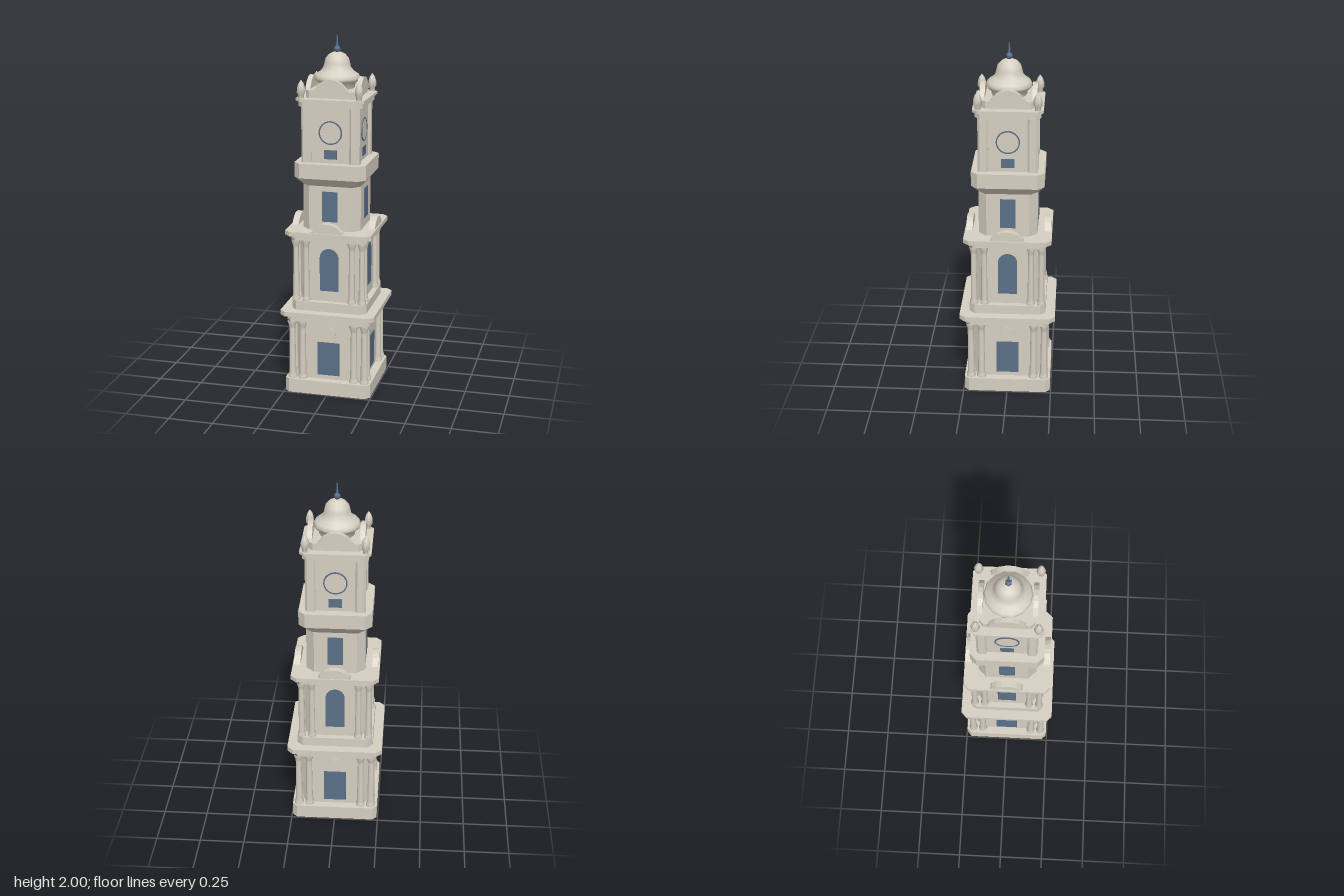
import * as THREE from 'three';

const stone = new THREE.MeshStandardMaterial({ color: 0xd6cfc2 });
stone.name = 'stone';
const slate = new THREE.MeshStandardMaterial({ color: 0x5a7088 });
slate.name = 'slate blue';

function add(parent, name, geometry, material, x = 0, y = 0, z = 0) {
  const mesh = new THREE.Mesh(geometry, material);
  mesh.name = name;
  mesh.position.set(x, y, z);
  parent.add(mesh);
  return mesh;
}

// Square with cut corners, counter-clockwise seen from above
function ring(y, h, c) {
  const k = h - c;
  return [[h, k], [h, -k], [k, -h], [-k, -h], [-h, -k], [-h, k], [-k, h], [k, h]]
    .map(([x, z]) => new THREE.Vector3(x, y, z));
}

// Stack of cut-corner squares [y, half width, corner cut], closed at both ends
function tier(levels) {
  const rings = levels.map((l) => ring(...l));
  const pos = [];
  const tri = (...pts) => pts.forEach((p) => pos.push(p.x, p.y, p.z));
  for (let r = 0; r < rings.length - 1; r++) {
    const lo = rings[r], hi = rings[r + 1];
    for (let i = 0; i < 8; i++) {
      const j = (i + 1) % 8;
      tri(lo[i], lo[j], hi[j]);
      tri(lo[i], hi[j], hi[i]);
    }
  }
  const top = rings[rings.length - 1], bottom = rings[0];
  for (let i = 1; i < 7; i++) {
    tri(top[0], top[i], top[i + 1]);
    tri(bottom[0], bottom[i + 1], bottom[i]);
  }
  const g = new THREE.BufferGeometry();
  g.setAttribute('position', new THREE.Float32BufferAttribute(pos, 3));
  g.computeVertexNormals();
  return g;
}

const lathe = (points, sides) =>
  new THREE.LatheGeometry(points.map(([r, y]) => new THREE.Vector2(r, y)), sides);

const extrude = (shape, depth) =>
  new THREE.ExtrudeGeometry(shape, { depth, bevelEnabled: false, curveSegments: 10 });

// Column with base and capital
const column = (height, r) => lathe([
  [r * 1.3, 0], [r * 1.3, 0.015], [r, 0.03], [r * 0.85, height - 0.05],
  [r * 0.95, height - 0.035], [r * 1.3, height - 0.015], [r * 1.3, height],
], 10);

// Low curved gable with steep ends
function gable(half, height, depth) {
  const s = new THREE.Shape();
  s.moveTo(-half, 0);
  [[-0.88, 0.3], [-0.6, 0.72], [-0.3, 0.94], [0, 1], [0.3, 0.94], [0.6, 0.72], [0.88, 0.3], [1, 0]]
    .forEach(([x, y]) => s.lineTo(x * half, y * height));
  return extrude(s, depth);
}

function archedWindow(half, height) {
  const s = new THREE.Shape();
  s.moveTo(-half, 0);
  s.lineTo(half, 0);
  s.lineTo(half, height - half);
  s.absarc(0, height - half, half, 0, Math.PI);
  return extrude(s, 0.005);
}

function disc(r, depth) {
  const s = new THREE.Shape();
  s.absarc(0, 0, r, 0, Math.PI * 2);
  return new THREE.ExtrudeGeometry(s, { depth, bevelEnabled: false, curveSegments: 16 });
}

function clockRing(inner, outer) {
  const s = new THREE.Shape();
  s.absarc(0, 0, outer, 0, Math.PI * 2);
  const hole = new THREE.Path();
  hole.absarc(0, 0, inner, 0, Math.PI * 2, true);
  s.holes.push(hole);
  return new THREE.ExtrudeGeometry(s, { depth: 0.006, bevelEnabled: false, curveSegments: 16 });
}

export function createModel() {
  const tower = new THREE.Group();
  tower.name = 'clockTower';

  // Tiers from the ground up
  const tiers = {
    plinth: [[0, 0.245, 0.025], [0.08, 0.245, 0.025]],
    firstStorey: [[0.08, 0.2, 0.05], [0.43, 0.2, 0.05]],
    firstArchitrave: [[0.425, 0.237, 0.03], [0.46, 0.237, 0.03]],
    firstCornice: [[0.46, 0.268, 0.032], [0.487, 0.268, 0.032]],
    secondPlinth: [[0.487, 0.214, 0.03], [0.54, 0.214, 0.03]],
    secondStorey: [[0.54, 0.182, 0.05], [0.9, 0.182, 0.05]],
    secondArchitrave: [[0.893, 0.215, 0.03], [0.92, 0.215, 0.03]],
    secondCornice: [[0.92, 0.243, 0.032], [0.945, 0.243, 0.032]],
    shaft: [[0.945, 0.163, 0.045], [1.2, 0.163, 0.045]],
    balcony: [[1.195, 0.163, 0.04], [1.24, 0.2, 0.037], [1.322, 0.2, 0.037]],
    clockStorey: [[1.32, 0.15, 0.03], [1.635, 0.15, 0.03]],
    topArchitrave: [[1.63, 0.177, 0.028], [1.66, 0.177, 0.028]],
    topCornice: [[1.66, 0.19, 0.03], [1.675, 0.19, 0.03]],
    attic: [[1.675, 0.143, 0.022], [1.715, 0.143, 0.022]],
  };
  for (const [name, levels] of Object.entries(tiers)) add(tower, name, tier(levels), stone);

  // Corner columns, piers and pinnacles
  const tallColumn = column(0.345, 0.02), shortColumn = column(0.353, 0.018);
  const pier = tier([[1.32, 0.029, 0.012], [1.635, 0.029, 0.012]]);
  const pinnacle = lathe([
    [0.016, 0], [0.016, 0.018], [0.024, 0.03], [0.023, 0.055], [0.015, 0.08], [0, 0.1],
  ], 6);
  for (const sx of [-1, 1]) for (const sz of [-1, 1]) {
    for (const [a, b] of [[1, 1], [0, 1], [1, 0]]) {
      add(tower, 'lowerColumn', tallColumn, stone,
        sx * (a ? 0.208 : 0.148), 0.08, sz * (b ? 0.208 : 0.148));
      add(tower, 'upperColumn', shortColumn, stone,
        sx * (a ? 0.188 : 0.13), 0.54, sz * (b ? 0.188 : 0.13));
    }
    add(tower, 'cornerPier', pier, stone, sx * 0.134, 0, sz * 0.134);
    add(tower, 'pinnacle', pinnacle, stone, sx * 0.16, 1.675, sz * 0.16);
  }

  // Details repeated on the four faces
  for (let i = 0; i < 4; i++) {
    const face = new THREE.Group();
    face.name = 'faceDetails';
    face.rotation.y = i * Math.PI / 2;
    add(face, 'door', new THREE.BoxGeometry(0.126, 0.195, 0.008), slate, 0, 0.203, 0.201);
    add(face, 'roundel', disc(0.04, 0.006), stone, 0, 0.352, 0.199);
    add(face, 'archedWindow', archedWindow(0.053, 0.245), slate, 0, 0.6, 0.181);
    add(face, 'lowerGable', gable(0.092, 0.055, 0.036), stone, 0, 0.944, 0.2);
    add(face, 'shaftWindow', new THREE.BoxGeometry(0.086, 0.17, 0.008), slate, 0, 1.08, 0.163);
    add(face, 'smallWindow', new THREE.BoxGeometry(0.072, 0.05, 0.008), slate, 0, 1.37, 0.15);
    add(face, 'clockFace', disc(0.058, 0.004), stone, 0, 1.49, 0.149);
    add(face, 'clockRing', clockRing(0.058, 0.065), slate, 0, 1.49, 0.149);
    add(face, 'upperGable', gable(0.103, 0.08, 0.027), stone, 0, 1.7, 0.127);
    tower.add(face);
  }

  // Bell-shaped dome
  add(tower, 'dome', lathe([
    [0.095, 1.71], [0.1, 1.74], [0.122, 1.757], [0.126, 1.772], [0.117, 1.79], [0.09, 1.808],
    [0.075, 1.828], [0.07, 1.85], [0.063, 1.876], [0.045, 1.897], [0.022, 1.908], [0, 1.91],
  ], 14), stone);

  // Finial
  add(tower, 'finialBall', new THREE.SphereGeometry(0.019, 6, 5), slate, 0, 1.925, 0);
  add(tower, 'finialSpike', new THREE.CylinderGeometry(0.003, 0.008, 0.07, 6), slate, 0, 1.965, 0);

  return tower;
}
